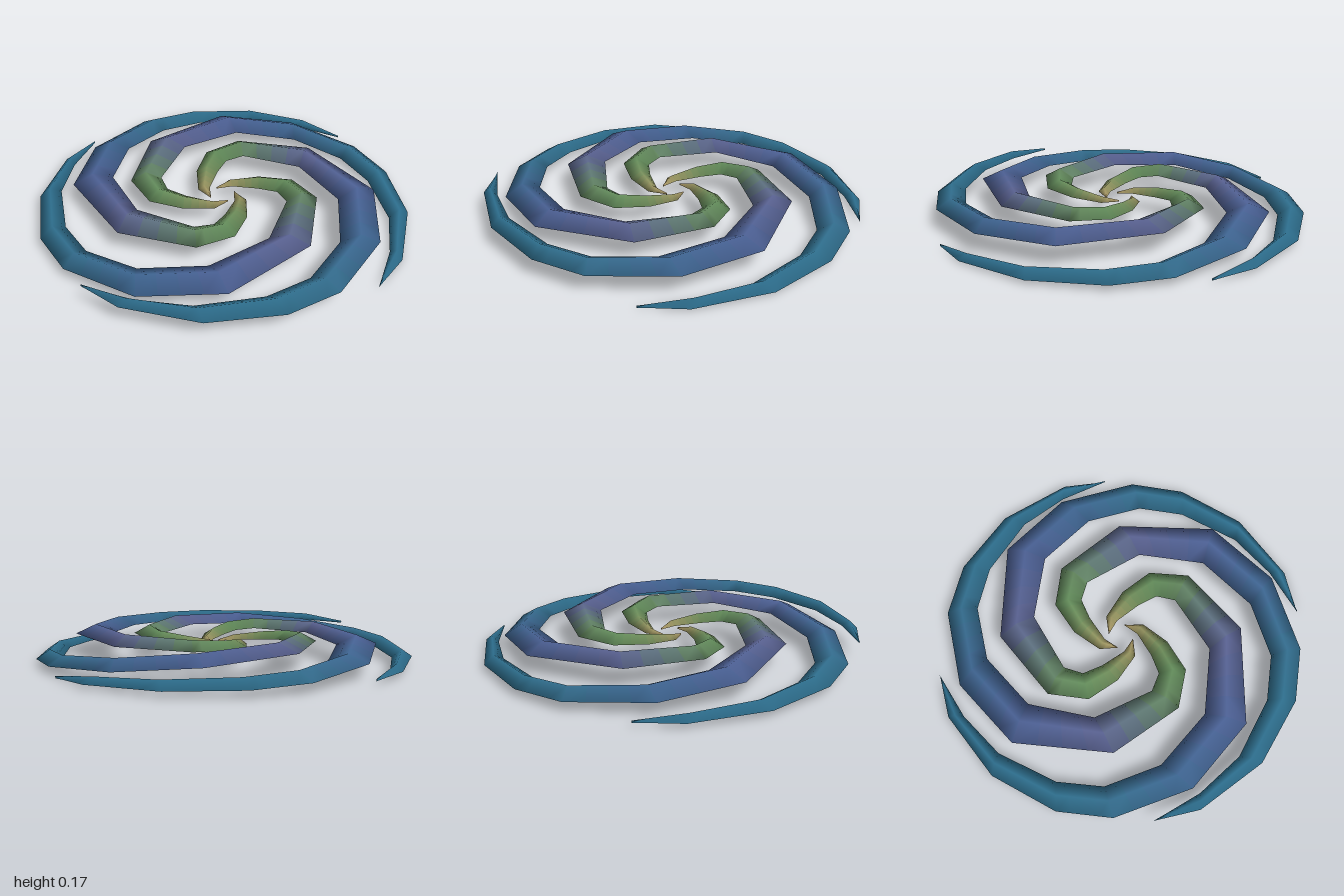
import * as THREE from 'three';

// One arm in plan: outer x, outer z, inner x, inner z, base height, share of the droop, ridge height
const STATIONS = [
  [0.03, -0.06, 0.03, -0.06, 0.085, 0, 0.008],
  [0.13, -0.045, 0.09, 0.005, 0.09, 0, 0.024],
  [0.24, 0.08, 0.14, 0.14, 0.1, 0, 0.036],
  [0.305, 0.255, 0.16, 0.25, 0.11, 0, 0.042],
  [0.225, 0.455, 0.105, 0.34, 0.118, 0, 0.046],
  [-0.15, 0.63, -0.215, 0.43, 0.124, 0.03, 0.048],
  [-0.655, 0.485, -0.545, 0.295, 0.128, 0.16, 0.048],
  [-0.89, 0.12, -0.73, 0, 0.128, 0.4, 0.048],
  [-0.915, -0.31, -0.75, -0.31, 0.132, 0.62, 0.046],
  [-0.8, -0.58, -0.655, -0.54, 0.138, 0.75, 0.044],
  [-0.53, -0.85, -0.425, -0.79, 0.145, 0.87, 0.04],
  [-0.16, -1, -0.18, -0.92, 0.148, 0.95, 0.034],
  [0.08, -0.995, 0.08, -0.995, 0.147, 1, 0.01],
];
const COLORS = [0xb09a68, 0x9a9560, 0x72905c, 0x648f5c, 0x64885f, 0x5d6494, 0x4c6298,
  0x3e6794, 0x336f90, 0x2f7190, 0x2e7090, 0x2e7090, 0x2e7090].map((c) => new THREE.Color(c));

// Low roof section: outer edge, ridge, inner edge, keel (across, up)
const SECTION = [[1, 0], [0, 1], [-1, 0], [0, -0.12]];
const SIDES = SECTION.length;
const STEPS = 4; // rings per station, for the colour fade

function armGeometry(droop) {
  const rings = (STATIONS.length - 1) * STEPS;
  const pos = [];
  const index = [];
  const geo = new THREE.BufferGeometry();
  for (let i = 0; i <= rings; i++) {
    const k = Math.min(Math.floor(i / STEPS), STATIONS.length - 2);
    const f = i / STEPS - k;
    const [ox, oz, ix, iz, base, share, ridge] =
      STATIONS[k].map((v, n) => THREE.MathUtils.lerp(v, STATIONS[k + 1][n], f));
    for (const [across, up] of SECTION) {
      pos.push(
        (ox + ix) / 2 + (across * (ox - ix)) / 2,
        base - droop * share + ridge * up,
        (oz + iz) / 2 + (across * (oz - iz)) / 2,
      );
    }
    if (i === rings) break;
    geo.addGroup(index.length, SIDES * 6, i);
    for (let j = 0; j < SIDES; j++) {
      const a = i * SIDES + j;
      const b = i * SIDES + ((j + 1) % SIDES);
      index.push(a, b, a + SIDES, b, b + SIDES, a + SIDES);
    }
  }
  geo.setAttribute('position', new THREE.Float32BufferAttribute(pos, 3));
  geo.setIndex(index);
  geo.computeVertexNormals();
  return geo;
}

export function createModel() {
  const group = new THREE.Group();
  group.name = 'spiral';

  // Colour bands from the warm core to the teal rim
  const materials = [];
  for (let i = 0; i < (STATIONS.length - 1) * STEPS; i++) {
    const t = (i + 0.5) / STEPS;
    const k = Math.floor(t);
    const color = COLORS[k].clone().lerp(COLORS[k + 1], t - k);
    materials.push(new THREE.MeshStandardMaterial({ color }));
  }

  // Four arms, slightly uneven in turn (degrees) and droop
  const arms = [[0, 0.127], [85.3, 0.142], [175.9, 0.048], [263.6, 0.122]];
  arms.forEach(([turn, droop], n) => {
    const arm = new THREE.Mesh(armGeometry(droop), materials);
    arm.name = `spiralArm${n + 1}`;
    arm.rotation.y = -THREE.MathUtils.degToRad(turn);
    group.add(arm);
  });
  return group;
}
